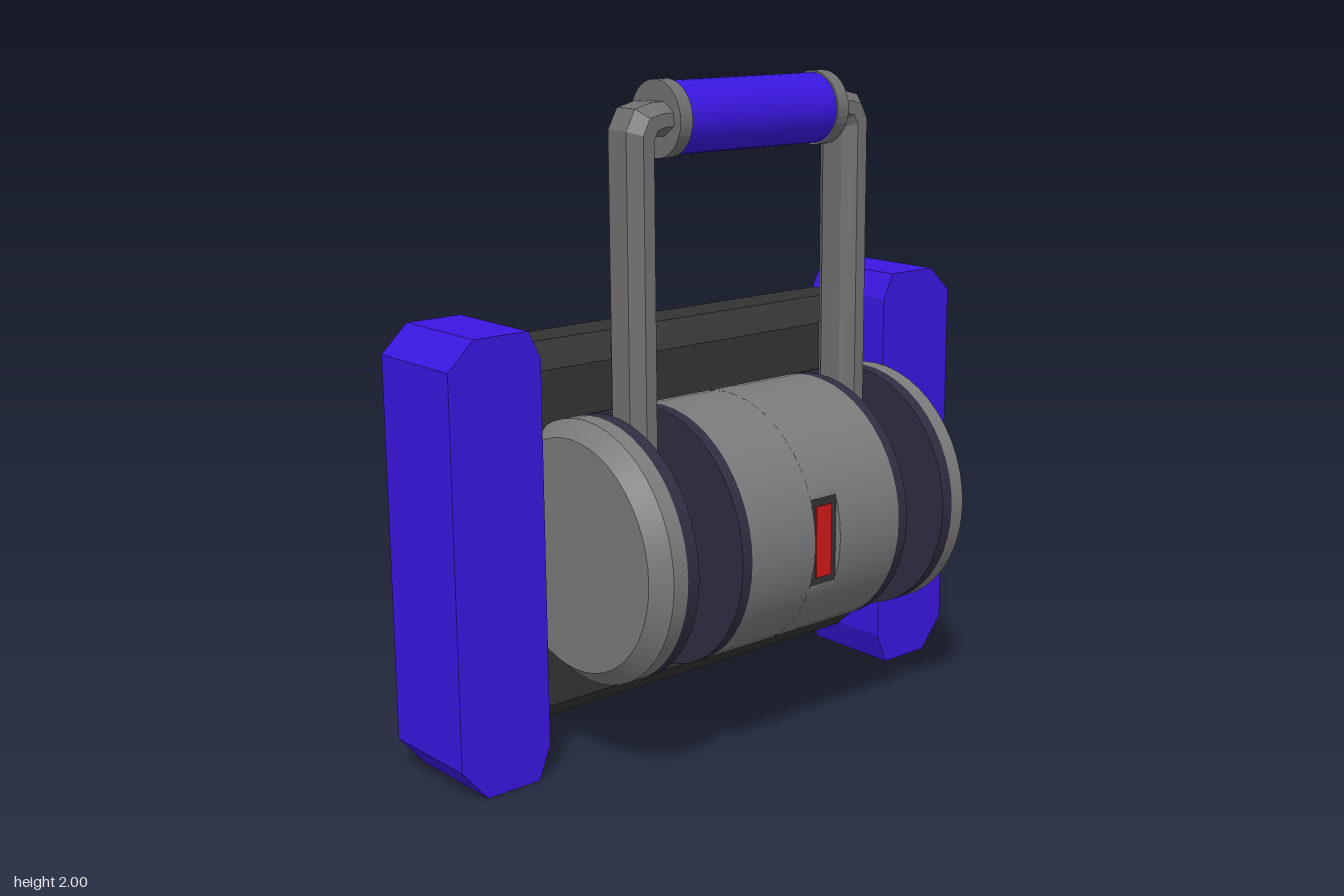
import * as THREE from 'three';
import { toCreasedNormals } from 'three/addons/utils/BufferGeometryUtils.js';

const paint = (color, flatShading = false) => new THREE.MeshStandardMaterial({ color, flatShading });
const blue = paint(0x3a16e0);
const grey = paint(0x7a7a7a);
const rodGrey = paint(0x707070, true);
const dark = paint(0x333333);
const navy = paint(0x2f2d40);
const red = paint(0xd01818);

const DRUM_Y = 0.68, DRUM_R = 0.387, GRIP_Y = 1.89, GRIP_Z = 0.013;

function add(parent, name, geometry, material, x = 0, y = 0, z = 0) {
  const mesh = new THREE.Mesh(geometry, material);
  mesh.name = name;
  mesh.position.set(x, y, z);
  parent.add(mesh);
  return mesh;
}

// Round section lying along x, from x0 (radius r0) to x1 (radius r1)
function roundX(x0, x1, r0, r1 = r0, sides = 48) {
  return new THREE.CylinderGeometry(r1, r0, x1 - x0, sides).rotateZ(-Math.PI / 2).translate((x0 + x1) / 2, 0, 0);
}

// Side profile (drawn with -z to the right, y up) extruded along x
function profileX(shape, x0, x1) {
  const g = new THREE.ExtrudeGeometry(shape, { depth: x1 - x0, bevelEnabled: false, curveSegments: 40 });
  return toCreasedNormals(g.rotateY(Math.PI / 2).translate(x0, 0, 0), 0.5);
}

const polygon = (points) => new THREE.Shape(points.map(([x, y]) => new THREE.Vector2(x, y)));

// Circle of the drum with everything in front of zCut removed
function cutDisc(zCut) {
  const a = Math.acos(-zCut / DRUM_R);
  return new THREE.Shape().absarc(0, 0, DRUM_R, -a, a, false);
}

// Octagonal rod swept through [innerX, innerY, outerX, outerY] stations
function rodGeometry() {
  const stations = [
    [0.365, 0.7, 0.46, 0.7], [0.365, 1.83, 0.46, 1.865], [0.357, 1.843, 0.428, 1.925],
    [0.345, 1.845, 0.365, 1.94], [0.3, 1.845, 0.3, 1.94],
  ];
  const section = [[0, 0.04], [0.3, 0.08], [0.7, 0.08], [1, 0.04], [1, -0.04], [0.7, -0.08], [0.3, -0.08], [0, -0.04]];
  const n = section.length, positions = [], index = [];
  stations.forEach(([ix, iy, ox, oy], s) => {
    section.forEach(([t, z], i) => {
      positions.push(ix + (ox - ix) * t, iy + (oy - iy) * t, z);
      if (s === 0) return;
      const a = (s - 1) * n + i, b = (s - 1) * n + (i + 1) % n;
      index.push(a, b, b + n, a, b + n, a + n);
    });
  });
  const g = new THREE.BufferGeometry();
  g.setAttribute('position', new THREE.Float32BufferAttribute(positions, 3));
  g.setIndex(index);
  g.computeVertexNormals();
  return g;
}

export function createModel() {
  const model = new THREE.Group();
  model.name = 'handledCase';

  // Back panel with bevelled front edges
  const panel = polygon([[0.392, 0.09], [0.392, 1.25], [0.26, 1.25], [0.18, 1.18], [0.18, 0.16], [0.26, 0.09]]);
  add(model, 'backPanel', profileX(panel, -0.72, 0.72), dark);

  // Chamfered bumpers on both sides
  for (const s of [1, -1]) {
    const outline = [[0.72, 0], [0.9, 0], [0.985, 0.1], [0.985, 1.25], [0.9, 1.33], [0.72, 1.33], [0.68, 1.25], [0.68, 0.1]];
    const shape = polygon(outline.map(([x, y]) => [s * x, y]));
    const bumper = new THREE.ExtrudeGeometry(shape, { depth: 0.332, bevelEnabled: false });
    add(model, s > 0 ? 'leftBumper' : 'rightBumper', bumper, blue, 0, 0, -0.394);
  }

  // Drum: centre strip with a flat for the indicator light
  const drum = new THREE.Group();
  drum.name = 'drum';
  drum.position.y = DRUM_Y;
  model.add(drum);
  const flatZ = 0.364;
  add(drum, 'drumCentre', profileX(cutDisc(flatZ), -0.05, 0.05), grey);
  add(drum, 'lightFrame', new THREE.BoxGeometry(0.1, 0.26, 0.02), dark, 0, 0, flatZ - 0.008);
  add(drum, 'light', new THREE.BoxGeometry(0.06, 0.215, 0.02), red, 0, 0, flatZ - 0.004);

  for (const s of [1, -1]) {
    const side = new THREE.Group();
    side.name = s > 0 ? 'leftDrumHalf' : 'rightDrumHalf';
    drum.add(side);
    // Spans are given for the left side and flipped for the right
    const ring = (name, material, a, b, ra = DRUM_R, rb = ra) =>
      add(side, name, s > 0 ? roundX(a, b, ra, rb) : roundX(-b, -a, rb, ra), material);
    ring('drumBody', grey, 0.05, 0.295);
    ring('innerSlotRing', navy, 0.295, 0.33);
    ring('outerSlotRing', navy, 0.49, 0.53);
    ring('endCap', grey, 0.53, 0.58);
    ring('endCapBevel', grey, 0.58, 0.63, DRUM_R, 0.34);
    // Back wall of the open slot
    const [x0, x1] = s > 0 ? [0.33, 0.49] : [-0.49, -0.33];
    add(side, 'slotBack', profileX(cutDisc(-0.085), x0, x1), navy);
    // Block holding the foot of the handle rod
    const foot = polygon([[0.12, -0.11], [0.12, 0.11], [-0.12, 0.11], [-0.12, -0.05], [-0.06, -0.11]]);
    add(side, 'rodFoot', profileX(foot, x0, x1), dark);
  }

  // Carrying handle
  const handle = new THREE.Group();
  handle.name = 'handle';
  handle.position.z = GRIP_Z;
  model.add(handle);
  const rod = rodGeometry();
  add(handle, 'leftRod', rod, rodGrey);
  add(handle, 'rightRod', rod, rodGrey).rotation.y = Math.PI;
  add(handle, 'grip', roundX(-0.285, 0.285, 0.104, 0.104, 32), blue, 0, GRIP_Y);
  for (const s of [1, -1]) {
    add(handle, 'gripCollar', roundX(-0.022, 0.022, 0.11, 0.11, 32), rodGrey, s * 0.302, GRIP_Y);
  }
  return model;
}
